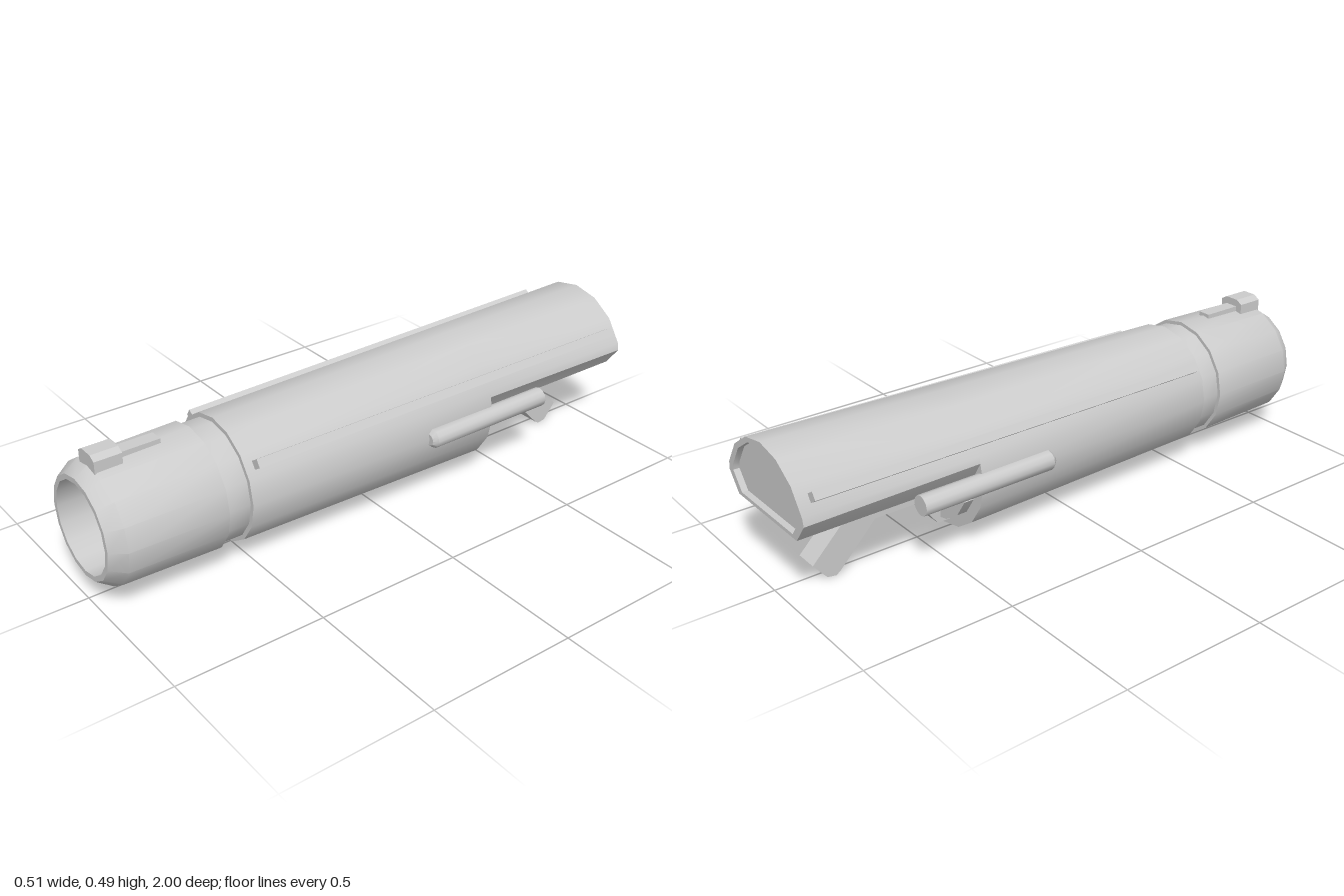
import * as THREE from 'three';
import { toCreasedNormals } from 'three/addons/utils/BufferGeometryUtils.js';

const CY = 0.25; // height of the barrel axis
const SIDES = 16;
const material = new THREE.MeshStandardMaterial({ color: 0xcccccc });

// Barrel radius widens gently towards the back
const radiusAt = (z) => 0.21 + (0.54 - z) * 0.0182;

function add(group, name, geometry, crease = 0.6) {
  const mesh = new THREE.Mesh(toCreasedNormals(geometry, crease), material);
  mesh.name = name;
  group.add(mesh);
  return mesh;
}

// Turned part along z; profile is [radius, z] pairs
function turned(profile, sides = SIDES) {
  const points = profile.map(([r, z]) => new THREE.Vector2(r, z));
  return new THREE.LatheGeometry(points, sides).rotateX(Math.PI / 2);
}

// Skin joining rings of equal point count, ordered from front to back
function loft(rings) {
  const n = rings[0].length;
  const index = [];
  for (let i = 0; i < rings.length - 1; i++) {
    for (let j = 0; j < n; j++) {
      const a = i * n + j, b = i * n + (j + 1) % n;
      index.push(a, a + n, b, b, a + n, b + n);
    }
  }
  const geometry = new THREE.BufferGeometry();
  geometry.setAttribute('position', new THREE.Float32BufferAttribute(rings.flat(2), 3));
  geometry.setIndex(index);
  return geometry;
}

// Domed section with bevelled lower corners, shrunk about its middle
function domeRing(z, scale = 1) {
  const r = radiusAt(z);
  const points = [[0.175, CY], [r * 0.945, 0.315]];
  for (let k = 1; k < 8; k++) {
    const a = (k * Math.PI) / 8;
    points.push([r * Math.cos(a), CY + r * Math.sin(a)]);
  }
  points.push([-r * 0.945, 0.315], [-0.175, CY]);
  return points.map(([x, y]) => [x * scale, 0.355 + (y - 0.355) * scale, z]);
}

function polygon(points) {
  return new THREE.Shape(points.map(([x, y]) => new THREE.Vector2(x, y)));
}

export function createModel() {
  const model = new THREE.Group();
  model.name = 'launcherTube';

  // Front barrel, neck groove, muzzle and bore in one turned profile
  add(model, 'barrel', turned([
    [0, -0.4], [radiusAt(-0.4), -0.4], [0.21, 0.54], [0.195, 0.54],
    [0.195, 0.62], [0.207, 0.62], [0.2, 0.95], [0.167, 1],
    [0.15, 1], [0.15, 0.0], [0, 0.0],
  ])).position.y = CY;

  // Half-height rear housing with a recessed end
  add(model, 'rearHousing', loft([
    domeRing(-0.4), domeRing(-1), domeRing(-1, 0.88),
    domeRing(-0.98, 0.88), domeRing(-0.98, 0),
  ]));

  // Plug closing the lower barrel behind the cut
  const plugPoints = [];
  for (let k = 0; k <= 6; k++) {
    const a = Math.PI * (1.125 + k * 0.125);
    plugPoints.push([0.19 * Math.cos(a), CY + 0.19 * Math.sin(a)]);
  }
  const plug = new THREE.ExtrudeGeometry(polygon(plugPoints), { depth: 0.045, bevelEnabled: false });
  add(model, 'rearPlug', plug.translate(0, 0, -0.435));

  // Grip bracket, drawn with x as distance towards the back
  const grip = new THREE.ExtrudeGeometry(polygon([
    [0.39, 0.05], [0.445, 0.05], [0.52, 0.145], [0.67, 0.145], [0.8, 0.01],
    [0.815, 0], [0.845, 0.005], [0.89, 0.06], [0.73, 0.22], [0.73, 0.26], [0.39, 0.26],
  ]), { depth: 0.08, bevelEnabled: false });
  add(model, 'grip', grip.translate(0, 0, -0.04).rotateY(Math.PI / 2), 0.3);

  // Front sight block and the bar behind it
  const sight = new THREE.ExtrudeGeometry(polygon([
    [-0.047, 0.435], [0.047, 0.435], [0.047, 0.477], [0.025, 0.49], [-0.025, 0.49], [-0.047, 0.477],
  ]), { depth: 0.09, bevelEnabled: false });
  add(model, 'frontSight', sight.translate(0, 0, 0.867), 0.3);
  add(model, 'sightBar', new THREE.BoxGeometry(0.046, 0.03, 0.15)).position.set(0, 0.45, 0.805);

  for (const side of [1, -1]) {
    const label = side > 0 ? 'left' : 'right';

    // Long rail following the taper of the barrel
    const angle = Math.PI * 0.1875;
    const rail = new THREE.BoxGeometry(0.06, 0.028, 1.47).translate(0, 0, -0.225);
    const pos = rail.attributes.position;
    for (let i = 0; i < pos.count; i++) {
      pos.setX(i, pos.getX(i) + radiusAt(pos.getZ(i)) * 0.98 + 0.002);
    }
    rail.rotateZ(side > 0 ? angle : Math.PI - angle);
    add(model, label + 'Rail', rail, 0.3).position.y = CY;

    // Side rod with a chamfered nose
    add(model, label + 'Rod', turned([
      [0, -0.62], [0.033, -0.62], [0.033, -0.145], [0.02, -0.13], [0, -0.13],
    ], 12)).position.set(side * 0.22, CY, 0);
  }
  return model;
}
